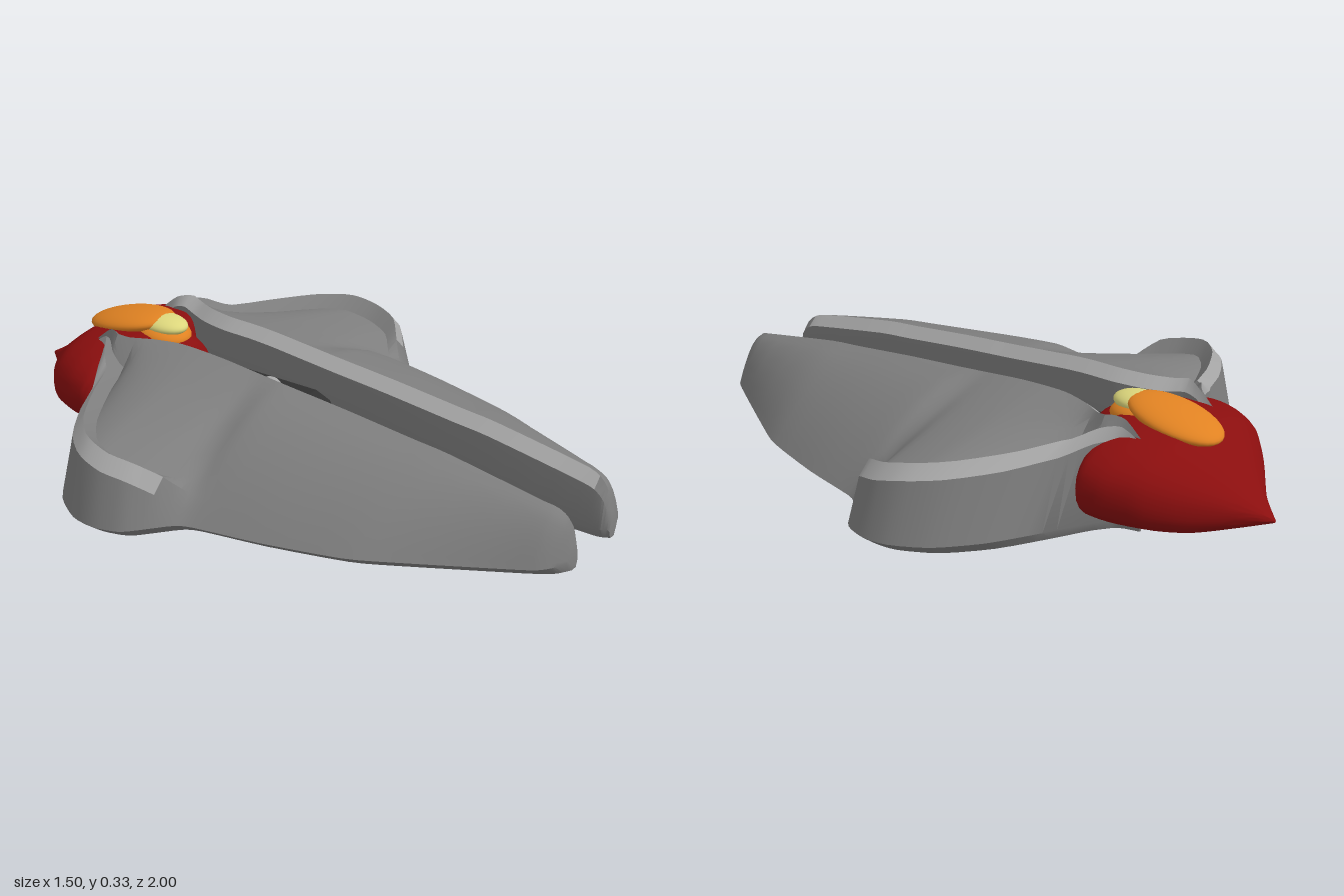
import * as THREE from 'three';
import { toCreasedNormals } from 'three/addons/utils/BufferGeometryUtils.js';

const paint = (name, color) => {
  const m = new THREE.MeshStandardMaterial({ color });
  m.name = name;
  return m;
};

// Smoothly resample a table of stations, column by column
function resample(rows, steps) {
  const out = [];
  for (let i = 0; i < rows.length - 1; i++) {
    const [a, b, c, d] = [rows[Math.max(i - 1, 0)], rows[i], rows[i + 1], rows[Math.min(i + 2, rows.length - 1)]];
    for (let s = 0; s < steps; s++) {
      const t = s / steps;
      out.push(b.map((v, k) => {
        const m0 = (c[k] - a[k]) * 0.35, m1 = (d[k] - v) * 0.35;
        const t2 = t * t, t3 = t2 * t;
        return (2 * t3 - 3 * t2 + 1) * v + (t3 - 2 * t2 + t) * m0 + (3 * t2 - 2 * t3) * c[k] + (t3 - t2) * m1;
      }));
    }
  }
  out.push(rows[rows.length - 1]);
  return out;
}

// Skin closed rings running front to back; keep(i, j) picks the strips
function loft(rings, { side = 1, crease = 0.6, caps = true, keep = () => true } = {}) {
  const pos = [], n = rings[0].length;
  const tri = (...p) => {
    if (side < 0) p.reverse();
    p.forEach(([x, y, z]) => pos.push(x * side, y, z));
  };
  for (let i = 0; i < rings.length - 1; i++) {
    for (let j = 0; j < n; j++) {
      if (!keep(i, j)) continue;
      const k = (j + 1) % n;
      const a = rings[i][j], b = rings[i][k], c = rings[i + 1][j], d = rings[i + 1][k];
      tri(a, b, c);
      tri(b, d, c);
    }
  }
  if (caps) {
    const f = rings[0], e = rings[rings.length - 1];
    for (let j = 1; j < n - 1; j++) {
      tri(f[0], f[j + 1], f[j]);
      tri(e[0], e[j], e[j + 1]);
    }
  }
  const g = new THREE.BufferGeometry();
  g.setAttribute('position', new THREE.Float32BufferAttribute(pos, 3));
  return toCreasedNormals(g, crease);
}

// Wing stations: z, inner x, outer x, ridge height, rim amount, rim height
const WING = [
  [0.995, 0.09, 0.13, 0.06, 0, 0.05],
  [0.975, 0.075, 0.18, 0.14, 0, 0.1],
  [0.95, 0.07, 0.215, 0.168, 0, 0.1],
  [0.9, 0.07, 0.25, 0.185, 0, 0.1],
  [0.6, 0.07, 0.42, 0.235, 0, 0.1],
  [0.48, 0.07, 0.48, 0.247, 0, 0.1],
  [0.25, 0.07, 0.545, 0.272, 0, 0.1],
  [0.05, 0.07, 0.585, 0.29, 0, 0.12],
  [0, 0.07, 0.61, 0.295, 0.25, 0.14],
  [-0.05, 0.07, 0.67, 0.3, 0.8, 0.175],
  [-0.1, 0.07, 0.725, 0.305, 1, 0.205],
  [-0.18, 0.07, 0.748, 0.313, 1, 0.225],
  [-0.26, 0.07, 0.735, 0.318, 1, 0.242],
  [-0.36, 0.07, 0.67, 0.32, 1, 0.25],
  [-0.45, 0.09, 0.55, 0.318, 1, 0.257],
  [-0.52, 0.12, 0.4, 0.317, 1, 0.272],
  [-0.57, 0.135, 0.28, 0.325, 1, 0.3],
  [-0.61, 0.145, 0.2, 0.315, 1, 0.3],
  [-0.67, 0.157, 0.168, 0.265, 1, 0.26],
];

function wingRing([z, xi, xo, h, r, crest]) {
  const w = xo - xi, yb = Math.min(0.03, h * 0.4);
  const ridge = [xi + Math.min(0.055, w * 0.3), h];
  const span = xo - ridge[0];
  const curve = t => [ridge[0] + span * t, yb + (h - yb) * (1 - t ** 1.9)];
  const mix = (a, b, t) => [a[0] + (b[0] - a[0]) * t, a[1] + (b[1] - a[1]) * t];
  // Rim offsets widen where the outline turns across the back
  const s = 1 + Math.max(0, -0.3 - z) * 4;
  const inset = d => xo - Math.min(d * s, span * d * 6);
  const valley = [inset(0.13), crest - Math.min(0.04, (h - crest) * 0.5)];
  const slope = [0.2, 0.4, 0.6].map(t => mix(curve(t), mix(ridge, valley, t / 0.75), r));
  const low = Math.min(0.03, h * 0.2);
  return [
    [xi + Math.min(0.015, w * 0.2), 0], [xi, yb],
    [xi + Math.min(0.015, w * 0.1), h - low], ridge,
    ...slope,
    mix(curve(0.75), valley, r),
    mix(curve(0.86), [inset(0.085), crest], r),
    mix(curve(0.94), [inset(0.045), crest - 0.04], r),
    [xo, yb], [xo - Math.min(0.04, w * 0.25), 0],
  ].map(([x, y]) => [x, y, z]);
}

// Rounded ring for the hull: z, half width, top, bottom
function hullRing([z, w, top, bottom]) {
  const ring = [], n = 36, e = 2 / 2.4;
  for (let k = 0; k < n; k++) {
    const a = -k / n * Math.PI * 2, c = Math.cos(a), s = Math.sin(a);
    ring.push([
      w * Math.sign(c) * Math.abs(c) ** e,
      (top + bottom) / 2 + (top - bottom) / 2 * Math.sign(s) * Math.abs(s) ** e, z]);
  }
  return ring;
}

export function createModel() {
  const model = new THREE.Group();
  model.name = 'craft';
  const gray = paint('hull gray', 0x7e7e7e);
  const light = paint('trim gray', 0xa6a6a6);
  const dark = paint('dark gray', 0x303030);
  const red = paint('deep red', 0x8a0e0e);
  const orange = paint('orange', 0xe08222);
  const yellow = paint('pale yellow', 0xdcd67c);
  const add = (name, geometry, material, parent = model) => {
    const mesh = new THREE.Mesh(geometry, material);
    mesh.name = name;
    parent.add(mesh);
    return mesh;
  };
  const ellipsoid = (name, material, [x, y, z], [a, b, c], tilt = 0) => {
    const m = add(name, new THREE.SphereGeometry(1, 32, 20), material);
    m.scale.set(a, b, c);
    m.position.set(x, y, z);
    m.rotation.x = tilt;
  };

  // Mirrored wings with pale ridge and rim strips
  const rings = resample(WING, 3).map(wingRing);
  const isTrim = (i, j) => (j === 2 && rings[i][0][2] < 0.95) || (j === 8 && rings[i][0][2] < -0.045);
  for (const side of [1, -1]) {
    const wing = new THREE.Group();
    wing.name = side > 0 ? 'leftWing' : 'rightWing';
    model.add(wing);
    add('wingShell', loft(rings, { side, keep: (i, j) => !isTrim(i, j) }), gray, wing);
    add('wingTrim', loft(rings, { side, keep: isTrim, caps: false }), light, wing);
  }

  // Pointed rear hull
  const hull = [
    [-0.39, 0.08, 0.2, 0.005], [-0.42, 0.09, 0.255, 0.004],
    [-0.5, 0.13, 0.285, 0.004], [-0.55, 0.29, 0.288, 0.006],
    [-0.58, 0.33, 0.288, 0.01], [-0.65, 0.323, 0.286, 0.01],
    [-0.74, 0.28, 0.268, 0.01], [-0.82, 0.2, 0.212, 0.016],
    [-0.92, 0.075, 0.133, 0.045], [-1, 0.004, 0.083, 0.075],
  ];
  add('rearHull', loft(resample(hull, 4).map(hullRing), { crease: 0.8 }), red);

  // Canopy and its bright dome
  ellipsoid('canopy', orange, [0, 0.285, -0.655], [0.1, 0.035, 0.155], -0.2);
  ellipsoid('canopyFront', orange, [0, 0.272, -0.53], [0.08, 0.037, 0.09], 0.1);
  ellipsoid('canopyDome', yellow, [0, 0.3, -0.53], [0.06, 0.029, 0.085]);

  // Spine joining the wings, with a sloped nose
  const profile = new THREE.Shape([
    [-0.08, 0.02], [0.42, 0.02], [0.42, 0.19], [0.0, 0.19], [-0.05, 0.17], [-0.08, 0.12],
  ].map(p => new THREE.Vector2(...p)));
  const spine = new THREE.ExtrudeGeometry(profile, { depth: 0.15, bevelEnabled: false });
  spine.translate(0, 0, -0.075).rotateY(Math.PI / 2);
  add('spine', spine, dark);

  // Round studs on the spine
  for (const z of [-0.12, -0.31]) ellipsoid('stud', light, [0, 0.187, z], [0.04, 0.04, 0.04]);

  return model;
}
